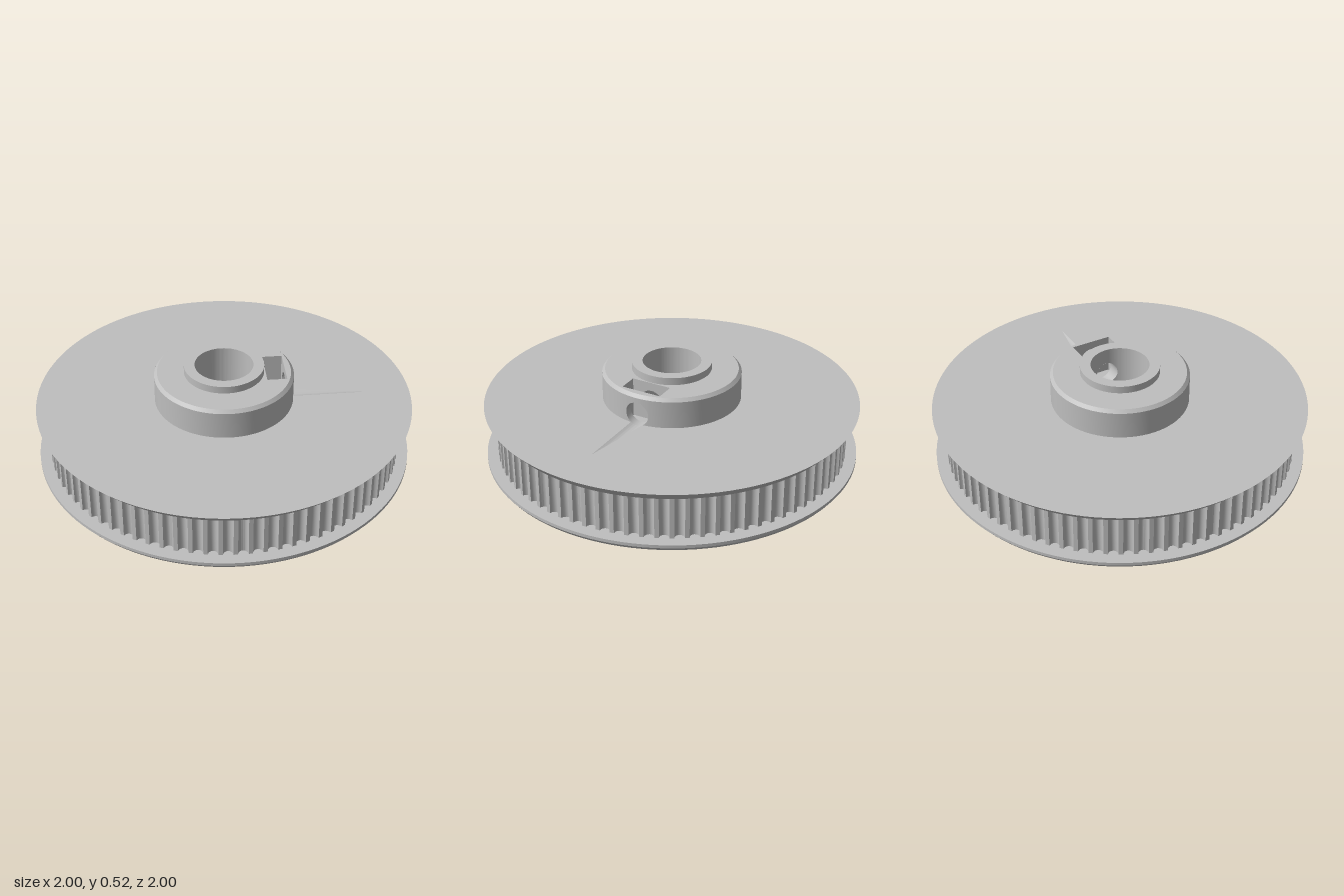
import * as THREE from 'three';
import { toCreasedNormals } from 'three/addons/utils/BufferGeometryUtils.js';

const BORE = 0.155, LIP = 0.212, HUB = 0.37, TOOTH = 0.94;
const DECK = 0.32, HUB_TOP = 0.485, LIP_TOP = 0.525;
const HOLE = { r: 0.065, y: 0.375 };                          // screw hole along x
const POCKET = { x0: 0.217, x1: 0.322, z: 0.11, floor: 0.27 }; // nut pocket
const GROOVE_END = 0.745;

export function createModel() {
  const model = new THREE.Group();
  const metal = new THREE.MeshStandardMaterial({ color: 0xbebebe, side: THREE.DoubleSide });

  const add = (name, geometry, crease = 0.5) => {
    const mesh = new THREE.Mesh(toCreasedNormals(geometry, crease), metal);
    mesh.name = name;
    model.add(mesh);
    return mesh;
  };

  // Turned surface; gap is a half angle left open around +x
  const turned = (name, profile, gap = 0) => add(name, new THREE.LatheGeometry(
    profile.map(([r, y]) => new THREE.Vector2(r, y)), 120, Math.PI / 2 + gap, Math.PI * 2 - 2 * gap), 0.3);

  // Ruled surface between two curves a(t) and b(t), t from 0 to 1
  const ribbon = (name, a, b, n = 32) => {
    const pos = [], index = [];
    for (let i = 0; i <= n; i++) {
      pos.push(...a(i / n), ...b(i / n));
      if (i < n) index.push(2 * i, 2 * i + 1, 2 * i + 2, 2 * i + 2, 2 * i + 1, 2 * i + 3);
    }
    const g = new THREE.BufferGeometry();
    g.setAttribute('position', new THREE.Float32BufferAttribute(pos, 3));
    g.setIndex(index);
    return add(name, g);
  };

  // Flat face lying at height y (shape coordinates are x and -z)
  const flat = (name, shape, y) =>
    add(name, new THREE.ShapeGeometry(shape, 60).rotateX(-Math.PI / 2).translate(0, y, 0));
  const disc = (r) => new THREE.Shape().absarc(0, 0, r, 0, Math.PI * 2, false);
  const ring = (r) => new THREE.Path().absarc(0, 0, r, 0, Math.PI * 2, true);

  // Cylinder wall around +x with the screw hole cut through it
  const piercedWall = (name, r, y0, y1) => {
    const gap = Math.asin(HOLE.r / r);
    turned(name, [[r, y0], [r, y1]], gap);
    const at = (t, height) => {
      const z = HOLE.r * -Math.cos(Math.PI * t);
      return [Math.sqrt(r * r - z * z), height(Math.sqrt(Math.max(0, HOLE.r ** 2 - z * z))), z];
    };
    ribbon(name + 'AboveHole', (t) => at(t, (h) => Math.max(y0, HOLE.y + h)), (t) => at(t, () => y1));
    ribbon(name + 'BelowHole', (t) => at(t, () => y0), (t) => at(t, (h) => Math.max(y0, HOLE.y - h)));
  };

  // Bottom flange
  turned('bottomFlange', [[BORE, 0], [0.985, 0], [1, 0.02], [1, 0.037], [0.88, 0.037]]);

  // Toothed rim: rounded grooves around the belt track
  const teeth = 80, pitch = Math.PI * 2 / teeth, rim = [];
  const half = 0.026, depth = 0.028;
  for (let i = 0; i < teeth; i++) {
    for (let k = 0; k <= 8; k++) {
      const s = Math.PI * k / 8;
      const a = i * pitch - Math.cos(s) * half / TOOTH;
      const r = TOOTH - depth * Math.sin(s);
      rim.push([r * Math.cos(a), -r * Math.sin(a)]);
    }
  }
  rim.push(rim[0]);
  const rimAt = (t, y) => {
    const [x, z] = rim[Math.round(t * (rim.length - 1))];
    return [x, y, z];
  };
  ribbon('toothedRim', (t) => rimAt(t, 0.037), (t) => rimAt(t, 0.267), rim.length - 1);

  // Top flange: flared edge and a deck with a slot for the screw groove
  turned('topFlangeEdge', [[0.88, 0.267], [0.952, 0.267], [1, DECK]]);
  const slot = Math.sqrt(HOLE.r ** 2 - (HOLE.y - DECK) ** 2);
  const inner = 0.366, open = Math.asin(slot / inner);
  const deck = disc(1);
  const cut = new THREE.Path();
  cut.moveTo(GROOVE_END, slot);
  cut.absarc(0, 0, inner, open, Math.PI * 2 - open, false);
  cut.lineTo(GROOVE_END, -slot);
  cut.closePath();
  deck.holes.push(cut);
  flat('topFlangeDeck', deck, DECK);

  // Hub, its chamfer and the raised lip
  piercedWall('hubWall', HUB, DECK, 0.468);
  turned('hubChamfer', [[HUB, 0.468], [0.354, HUB_TOP]]);
  const top = disc(0.354);
  const { x0, x1, z: pz, floor } = POCKET;
  const mouth = new THREE.Path();
  mouth.moveTo(x0, -pz).lineTo(x0, pz).lineTo(x1, pz).lineTo(x1, -pz).closePath();
  top.holes.push(ring(LIP), mouth);
  flat('hubTop', top, HUB_TOP);
  turned('hubLip', [[LIP, HUB_TOP], [LIP, LIP_TOP], [BORE, LIP_TOP]]);

  // Bore
  piercedWall('boreWall', BORE, 0, LIP_TOP);

  // Nut pocket: floor, side walls and two walls pierced by the screw hole
  for (const s of [-1, 1]) {
    ribbon('pocketSide', (t) => [x0 + t * (x1 - x0), floor, s * pz],
      (t) => [x0 + t * (x1 - x0), HUB_TOP, s * pz], 1);
  }
  ribbon('pocketFloor', (t) => [x0 + t * (x1 - x0), floor, -pz], (t) => [x0 + t * (x1 - x0), floor, pz], 1);
  for (const x of [x0, x1]) {
    const wall = new THREE.Shape();
    wall.moveTo(-pz, floor).lineTo(pz, floor).lineTo(pz, HUB_TOP).lineTo(-pz, HUB_TOP).closePath();
    wall.holes.push(new THREE.Path().absarc(0, HOLE.y, HOLE.r, 0, Math.PI * 2, true));
    add('pocketWall', new THREE.ShapeGeometry(wall, 32).rotateY(Math.PI / 2).translate(x, 0, 0));
  }

  // Screw hole through the hub, either side of the pocket
  const around = (angle, x) => {
    const z = HOLE.r * Math.sin(angle);
    return [typeof x === 'number' ? x : x(z), HOLE.y - HOLE.r * Math.cos(angle), z];
  };
  const onCylinder = (r) => (z) => Math.sqrt(r * r - z * z);
  const tube = (name, from, to) =>
    ribbon(name, (t) => around(t * Math.PI * 2, from), (t) => around(t * Math.PI * 2, to));
  tube('innerScrewHole', onCylinder(BORE), x0);
  tube('outerScrewHole', x1, onCylinder(HUB));

  // Shallow groove that the screw hole leaves in the deck
  const spread = Math.asin(slot / HOLE.r);
  const arc = (t) => (2 * t - 1) * spread;
  ribbon('screwGroove', (t) => around(arc(t), inner), (t) => around(arc(t), GROOVE_END), 12);
  ribbon('screwGrooveEnd', (t) => around(arc(t), GROOVE_END),
    (t) => [GROOVE_END, DECK, HOLE.r * Math.sin(arc(t))], 12);

  return model;
}
